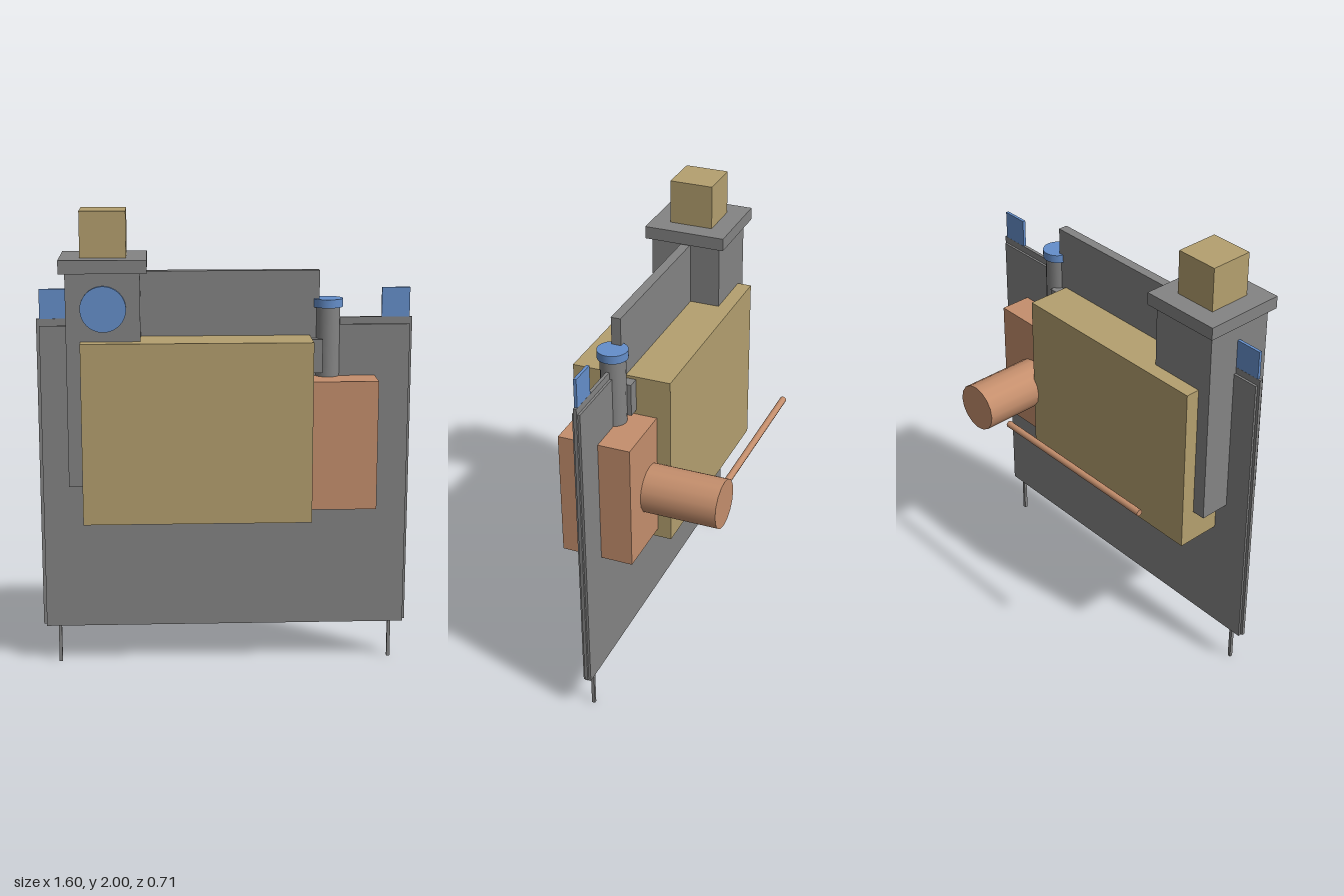
import * as THREE from 'three';

const material = (name, color) => {
  const m = new THREE.MeshStandardMaterial({ color });
  m.name = name;
  return m;
};

export function createModel() {
  const grey = material('grey', 0x848484);
  const tan = material('tan', 0xb4a06f);
  const copper = material('copper', 0xc58f6d);
  const blue = material('blue', 0x658fcb);
  const group = new THREE.Group();
  const PANEL_Z = 0.132;

  const add = (name, geometry, mat, x, y, z) => {
    const mesh = new THREE.Mesh(geometry, mat);
    mesh.name = name;
    mesh.position.set(x, y, z);
    group.add(mesh);
    return mesh;
  };
  // Box given by its limits on each axis
  const box = (name, mat, [x0, x1], [y0, y1], [z0, z1]) =>
    add(name, new THREE.BoxGeometry(x1 - x0, y1 - y0, z1 - z0), mat,
      (x0 + x1) / 2, (y0 + y1) / 2, (z0 + z1) / 2);
  const cylinder = (name, mat, r, length, sides, x, y, z) =>
    add(name, new THREE.CylinderGeometry(r, r, length, sides), mat, x, y, z);
  const around = (half) => [PANEL_Z - half, PANEL_Z + half];

  // Upright panel, with a thin plate showing past its edges
  box('mainPanel', grey, [-0.79, 0.79], [0.17, 1.51], around(0.017));
  box('edgePlate', grey, [-0.803, 0.8], [0.178, 1.54], around(0.007));
  box('upperPanel', grey, [-0.6, 0.4], [1.4, 1.742], around(0.021));

  // Legs and corner tabs on both sides
  for (const side of [-1, 1]) {
    const name = side < 0 ? 'right' : 'left';
    add(name + 'Leg', new THREE.BoxGeometry(0.014, 0.18, 0.014), grey, side * 0.732, 0.09, PANEL_Z);
    add(name + 'Tab', new THREE.BoxGeometry(0.12, 0.128, 0.013), blue, side * 0.729, 1.602, PANEL_Z);
  }

  // Large housing through the panel
  box('housing', tan, [-0.61, 0.36], [0.69, 1.465], [-0.086, 0.35]);

  // Tower with cap, block and round window
  box('tower', grey, [-0.67, -0.36], [0.843, 1.75], [-0.023, 0.293]);
  box('towerCap', grey, [-0.696, -0.332], [1.75, 1.806], [-0.05, 0.314]);
  box('topBlock', tan, [-0.61, -0.417], [1.806, 2], [0.035, 0.229]);
  cylinder('roundWindow', blue, 0.096, 0.015, 32, -0.514, 1.602, 0.3).rotation.x = Math.PI / 2;

  // Side gearbox with rear motor
  box('gearbox', copper, [0.23, 0.642], [0.73, 1.288], [-0.025, 0.292]);
  cylinder('motor', copper, 0.107, 0.34, 16, 0.437, 0.992, -0.186).rotation.x = Math.PI / 2;

  // Stand pipe with lid, and the bracket beside it
  cylinder('standPipe', grey, 0.054, 0.31, 16, 0.437, 1.435, PANEL_Z);
  cylinder('pipeLid', blue, 0.065, 0.036, 24, 0.437, 1.603, PANEL_Z);
  box('pipeBracket', grey, [0.35, 0.412], [1.308, 1.452], around(0.066));

  // Free rod behind the housing
  cylinder('rearRod', copper, 0.015, 0.855, 10, -0.123, 0.938, -0.28).rotation.z = Math.PI / 2;

  return group;
}
